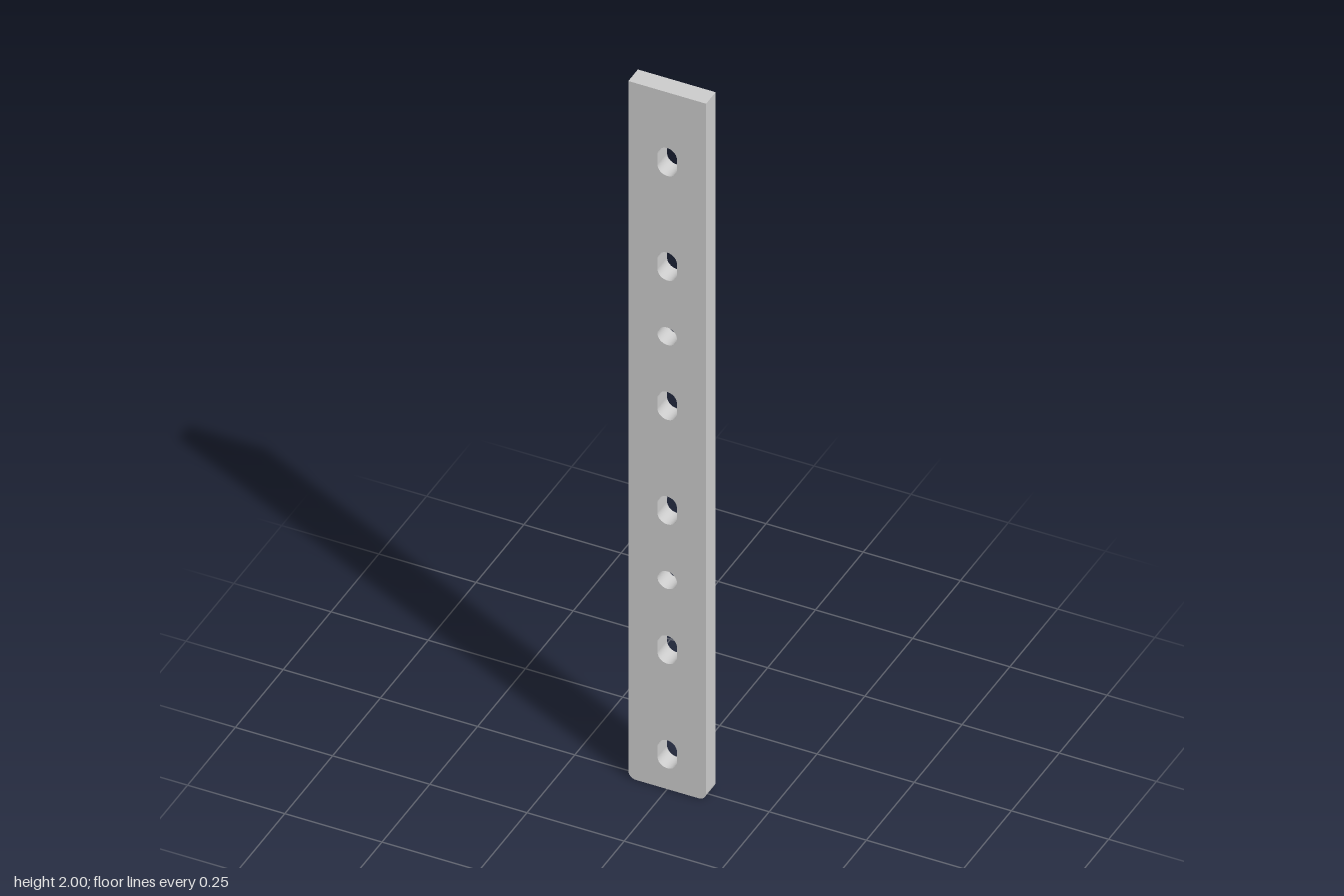
import * as THREE from 'three';

const WIDTH = 0.2, HEIGHT = 2, DEPTH = 0.05;
const CORNER = 0.02, HOLE_RADIUS = 0.025, SLOT_LENGTH = 0.08;
const SLOTS = [0.1, 0.4, 0.8, 1.1, 1.5, 1.8];
const ROUND_HOLES = [0.6, 1.3];

// Vertical slot; a length of twice the radius gives a round hole
function slotPath(y, length) {
  const half = length / 2 - HOLE_RADIUS;
  const path = new THREE.Path();
  path.absarc(0, y + half, HOLE_RADIUS, 0, Math.PI, false);
  path.absarc(0, y - half, HOLE_RADIUS, Math.PI, Math.PI * 2, false);
  path.closePath();
  return path;
}

export function createModel() {
  const model = new THREE.Group();
  const w = WIDTH / 2;

  // Outline: square top corners, small rounded bottom corners
  const outline = new THREE.Shape();
  outline.moveTo(w, HEIGHT);
  outline.lineTo(-w, HEIGHT);
  outline.lineTo(-w, CORNER);
  outline.absarc(-w + CORNER, CORNER, CORNER, Math.PI, Math.PI * 1.5, false);
  outline.absarc(w - CORNER, CORNER, CORNER, Math.PI * 1.5, Math.PI * 2, false);
  outline.closePath();

  // Fixing holes along the centre line
  for (const y of SLOTS) outline.holes.push(slotPath(y, SLOT_LENGTH));
  for (const y of ROUND_HOLES) outline.holes.push(slotPath(y, HOLE_RADIUS * 2));

  const geometry = new THREE.ExtrudeGeometry(outline, {
    depth: DEPTH, bevelEnabled: false, curveSegments: 16,
  });
  geometry.translate(0, 0, -DEPTH / 2);

  const plate = new THREE.Mesh(geometry, new THREE.MeshStandardMaterial({ color: 0xcccccc }));
  plate.name = 'perforatedPlate';
  model.add(plate);
  return model;
}
